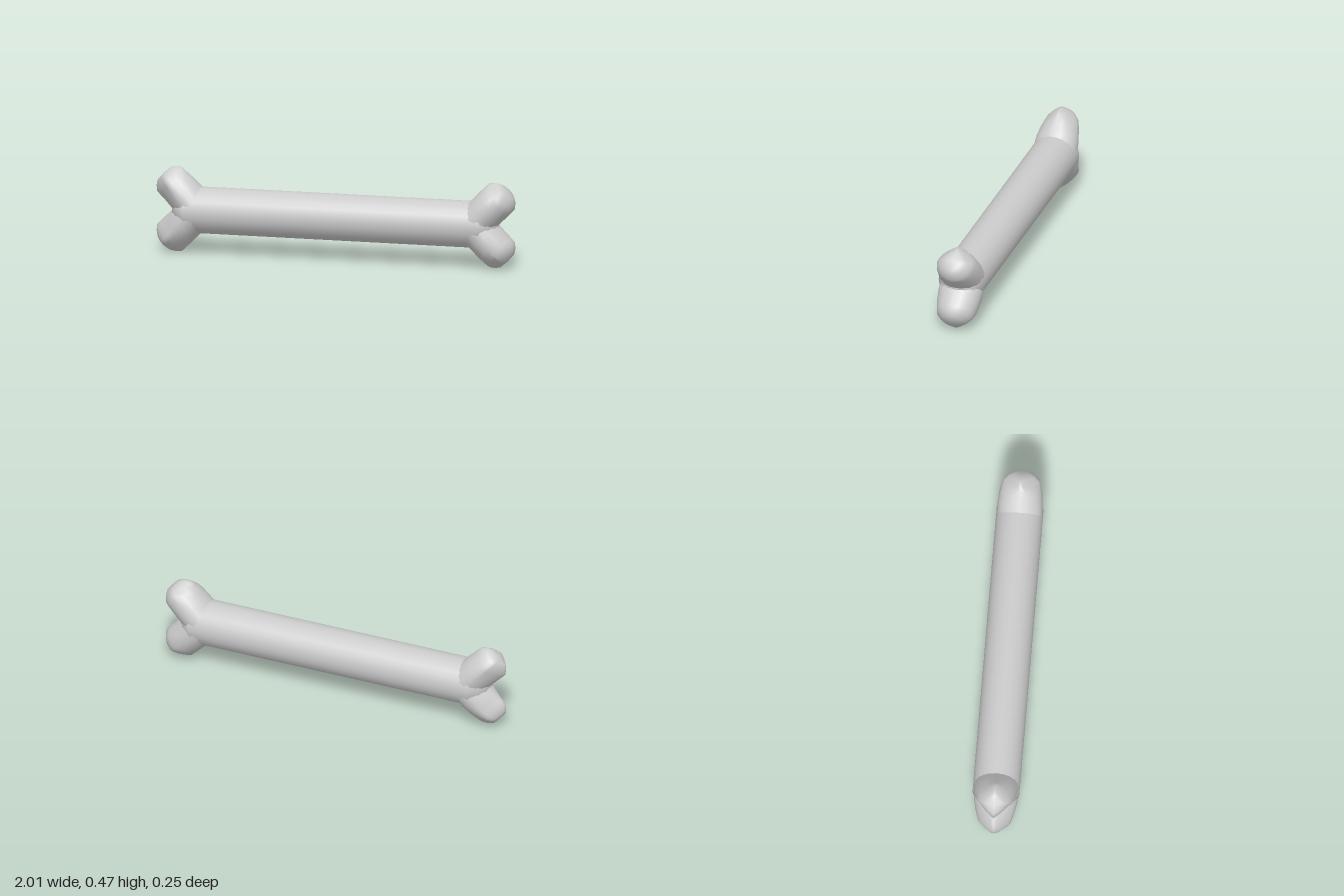
import * as THREE from 'three';

const MID = 0.228; // height of the shaft axis
const SEG = 20;

// signed power, squares off or sharpens an ellipse towards a diamond
const spow = (v, e) => Math.sign(v) * Math.abs(v) ** e;

// One lobe: elliptical rings lofted along a diagonal, mirrored by sx and sy.
// Each ring is [distance, half width, half depth, outer power, inner power].
function lobe(rings, sx, sy, material) {
  const k = Math.SQRT1_2, pos = [], index = [];
  for (const [s, w, d, outer, inner] of rings) {
    for (let i = 0; i < SEG; i++) {
      const a = (i / SEG) * Math.PI * 2, c = Math.cos(a);
      const p = 2 / (c > 0 ? outer : inner);
      const t = w * spow(c, p), z = d * spow(Math.sin(a), p);
      pos.push(sx * (0.768 + (s - t) * k), MID + sy * (s + t) * k, z);
    }
  }
  const flip = sx * sy < 0;
  const tri = (a, b, c) => (flip ? index.push(a, c, b) : index.push(a, b, c));
  for (let r = 0; r < rings.length - 1; r++) {
    for (let i = 0; i < SEG; i++) {
      const j = (i + 1) % SEG;
      const a = r * SEG + i, b = r * SEG + j;
      tri(a, a + SEG, b);
      tri(b, a + SEG, b + SEG);
    }
  }
  // tip fan
  const last = (rings.length - 1) * SEG, tip = pos.length / 3;
  const s = rings.at(-1)[0] + 0.004;
  pos.push(sx * (0.768 + s * k), MID + sy * s * k, 0);
  for (let i = 0; i < SEG; i++) tri(last + i, tip, last + (i + 1) % SEG);

  const g = new THREE.BufferGeometry();
  g.setAttribute('position', new THREE.Float32BufferAttribute(pos, 3));
  g.setIndex(index);
  g.computeVertexNormals();
  return new THREE.Mesh(g, material);
}

export function createModel() {
  const model = new THREE.Group();
  model.name = 'bone';
  const material = new THREE.MeshStandardMaterial({ color: 0xcccccc, side: THREE.DoubleSide });

  // Round shaft with short tapered ends buried between the lobes
  const half = [[0, 0.915], [0.045, 0.905], [0.09, 0.875], [0.127, 0.825]];
  const profile = [
    ...half.map(([r, y]) => new THREE.Vector2(r, -y)),
    ...half.map(([r, y]) => new THREE.Vector2(r, y)).reverse(),
  ];
  const shaft = new THREE.Mesh(new THREE.LatheGeometry(profile, 24), material);
  shaft.name = 'shaft';
  shaft.rotation.z = -Math.PI / 2;
  shaft.position.y = MID;
  model.add(shaft);

  // Two knobbed lobes at each end; the right end is sharper than the left
  const fullRings = [
    [0, 0.1, 0.124, 2, 2],
    [0.1, 0.1, 0.122, 2, 2],
    [0.16, 0.1, 0.116, 2, 2],
    [0.2, 0.1, 0.108, 1.7, 2],
    [0.229, 0.099, 0.1, 1.2, 1.9],
    [0.255, 0.078, 0.075, 1.25, 1.9],
    [0.272, 0.054, 0.045, 1.4, 1.9],
  ];
  const sharpRings = [
    [0, 0.1, 0.124, 2, 2],
    [0.1, 0.1, 0.118, 2, 1.7],
    [0.16, 0.1, 0.106, 1.8, 1.4],
    [0.2, 0.1, 0.096, 1.5, 1.25],
    [0.229, 0.099, 0.086, 1.3, 1.2],
    [0.255, 0.078, 0.064, 1.3, 1.3],
    [0.272, 0.054, 0.04, 1.4, 1.4],
  ];
  for (const [side, sx, rings] of [['left', 1, fullRings], ['right', -1, sharpRings]]) {
    for (const [level, sy] of [['Upper', 1], ['Lower', -1]]) {
      const mesh = lobe(rings, sx, sy, material);
      mesh.name = `${side}${level}Lobe`;
      model.add(mesh);
    }
  }
  return model;
}
